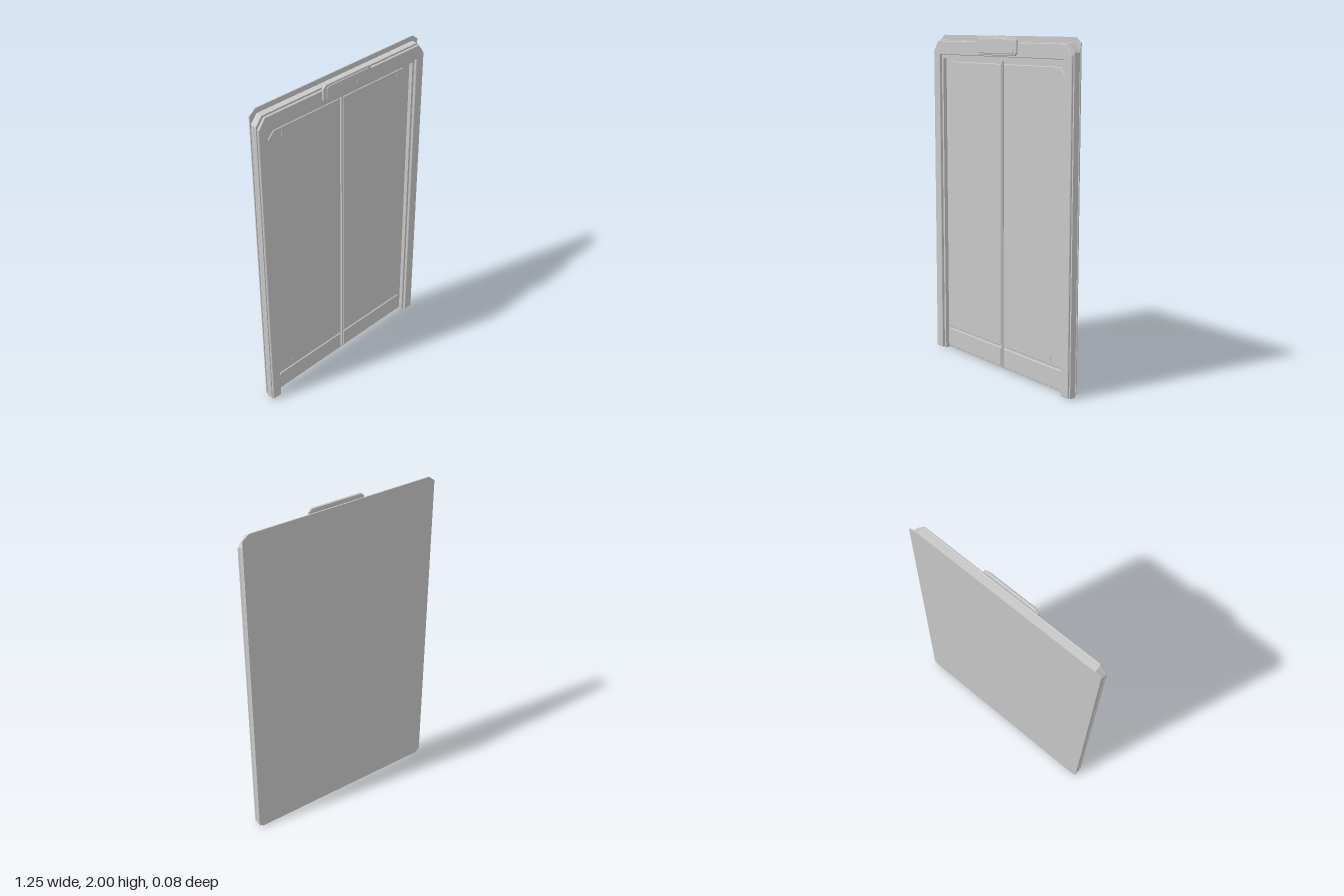
import * as THREE from 'three';

export function createModel() {
  const model = new THREE.Group();
  const grey = new THREE.MeshStandardMaterial({ color: 0xc8c8c8 });
  grey.name = 'light grey';

  const toPath = (points, Type = THREE.Shape) =>
    new Type(points.map(([x, y]) => new THREE.Vector2(x, y)));

  // Flat outline extruded from z0 to z1, with an optional bevel on its front edge side
  function slab(name, shape, z0, z1, bevel = 0, parent = model) {
    const geometry = new THREE.ExtrudeGeometry(shape, {
      depth: z1 - z0 - bevel * 2,
      bevelEnabled: bevel > 0,
      bevelSize: bevel,
      bevelThickness: bevel,
      bevelOffset: -bevel,
      bevelSegments: 1,
      curveSegments: 6,
    });
    geometry.translate(0, 0, z0 + bevel);
    const mesh = new THREE.Mesh(geometry, grey);
    mesh.name = name;
    parent.add(mesh);
    return mesh;
  }

  // Rectangle with cut corners; top and bottom cuts are [width, height]
  function cutRect(x0, x1, y0, y1, [tx, ty], [bx, by] = [0, 0]) {
    const points = [[x0 + bx, y0], [x1 - bx, y0]];
    if (bx) points.push([x1, y0 + by]);
    points.push([x1, y1 - ty], [x1 - tx, y1], [x0 + tx, y1], [x0, y1 - ty]);
    if (bx) points.push([x0, y0 + by]);
    return toPath(points);
  }

  // Upside-down U outline for the layers around the opening
  const arch = (w, bottom, top, cx, cy, innerW, innerTop) => toPath([
    [-w, bottom], [-innerW, bottom], [-innerW, innerTop], [innerW, innerTop],
    [innerW, bottom], [w, bottom], [w, top - cy], [w - cx, top],
    [-w + cx, top], [-w, top - cy],
  ]);

  // Back plate and the stepped surround
  slab('backPlate', cutRect(-0.625, 0.625, 0, 2, [0.04, 0.03], [0.025, 0.025]), -0.041, -0.034);
  slab('surroundBody', arch(0.62, 0.005, 1.97, 0.04, 0.05, 0.55, 1.86), -0.034, 0.004);
  slab('surroundNeck', arch(0.61, 0.012, 1.955, 0.04, 0.05, 0.565, 1.89), 0.004, 0.009);
  slab('surroundFace', arch(0.62, 0.012, 1.965, 0.045, 0.06, 0.56, 1.882), 0.009, 0.024, 0.003);

  // Two sliding doors, mirrored about the centre groove
  for (const side of [-1, 1]) {
    const door = new THREE.Group();
    door.name = side < 0 ? 'rightDoor' : 'leftDoor';
    model.add(door);
    const mirrored = (points) => {
      const list = points.map(([x, y]) => [x * side, y]);
      return toPath(side < 0 ? list.reverse() : list);
    };

    slab('doorLeaf', mirrored([[0.006, 0.012], [0.55, 0.012], [0.55, 1.86], [0.006, 1.86]]),
      -0.034, -0.02, 0, door);
    slab('doorPanel', mirrored([
      [0.014, 0.152], [0.54, 0.152], [0.54, 1.785], [0.49, 1.84], [0.014, 1.84],
    ]), -0.022, -0.014, 0.003, door);
    slab('kickPlate', mirrored([
      [0.014, 0.022], [0.538, 0.022], [0.538, 0.122], [0.522, 0.14], [0.014, 0.14],
    ]), -0.022, -0.012, 0.003, door);

    // Short guide marks near the top and bottom
    for (const y of [0.178, 1.8]) {
      const mark = new THREE.Mesh(new THREE.BoxGeometry(0.003, 0.05, 0.002), grey);
      mark.name = 'guideMark';
      mark.position.set(0.435 * side, y, -0.0135);
      door.add(mark);
    }
  }

  // Floor indicator with a raised face and up and down arrows
  const indicator = new THREE.Group();
  indicator.name = 'floorIndicator';
  model.add(indicator);
  slab('indicatorBase', cutRect(-0.18, 0.18, 1.89, 1.995, [0.018, 0.018], [0.018, 0.018]),
    0.02, 0.034, 0.003, indicator);
  slab('indicatorFace', cutRect(-0.16, 0.16, 1.9, 1.985, [0.012, 0.012], [0.012, 0.012]),
    0.033, 0.04, 0.003, indicator);
  for (const direction of [1, -1]) {
    const arrow = slab('arrow', toPath([
      [-0.035, -0.022], [-0.028, -0.022], [0, 0.014], [0.028, -0.022], [0.035, -0.022], [0, 0.022],
    ]), 0, 0.001, 0, indicator);
    arrow.position.set(-0.055 * direction, 1.945, 0.04);
    if (direction < 0) arrow.rotation.z = Math.PI;
  }

  return model;
}
